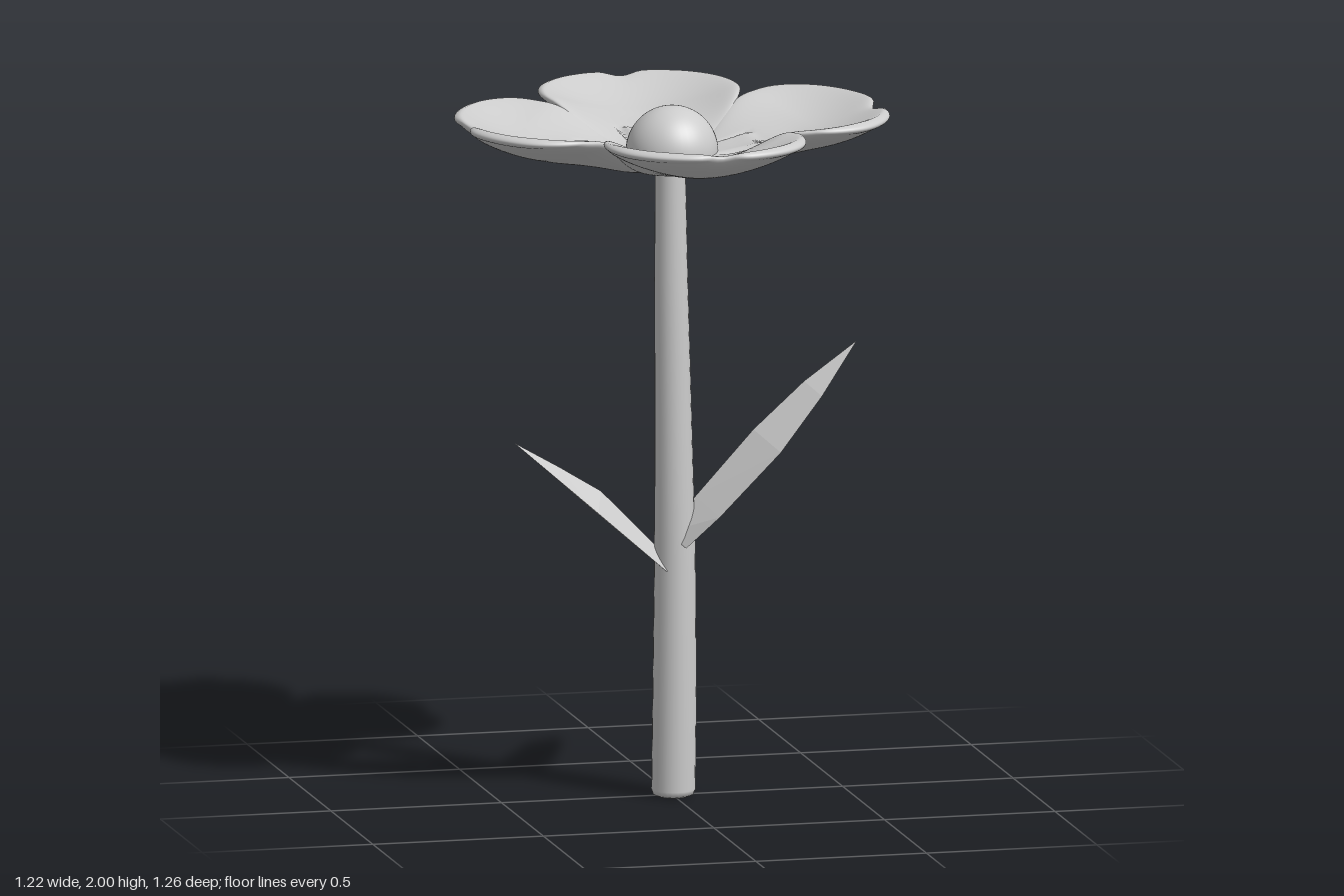
import * as THREE from 'three';

const grey = new THREE.MeshStandardMaterial({ color: 0xcccccc });
grey.name = 'light grey';

const smooth = THREE.MathUtils.smoothstep;

function part(name, geometry) {
  const mesh = new THREE.Mesh(geometry, grey);
  mesh.name = name;
  return mesh;
}

// Surface through rings of points, each ring closed on itself
function loft(rings) {
  const m = rings[0].length, index = [];
  for (let i = 0; i < rings.length - 1; i++) {
    for (let j = 0; j < m; j++) {
      const k = (j + 1) % m;
      const a = i * m + j, b = a + m, c = (i + 1) * m + k, d = i * m + k;
      index.push(a, c, b, a, d, c);
    }
  }
  const g = new THREE.BufferGeometry();
  g.setAttribute('position', new THREE.Float32BufferAttribute(rings.flat(2), 3));
  g.setIndex(index);
  g.computeVertexNormals();
  return g;
}

// Cupped petal pointing to +z: rings run out over the top, round the rim and back underneath
function petalGeometry(width, length, half) {
  const mirrored = half.slice(1, -1).reverse().map(([x, z]) => [-x, z]);
  const curve = new THREE.CatmullRomCurve3(
    [...half, ...mirrored].map(([x, z]) => new THREE.Vector3(x, 0, z)), true);
  const outline = curve.getSpacedPoints(112).slice(0, -1);
  const N = 64, cz = 0.35, rings = [];
  for (let i = 0; i <= N; i++) {
    const s = Math.sin(Math.PI * i / N);
    const top = i <= N / 2;
    rings.push(outline.map(p => {
      const x = p.x * s, z = cz + (p.z - cz) * s;
      const cup = Math.min(1, Math.hypot(x / width, (z - cz) / (length - cz)));
      const rise = 0.119 * smooth(Math.hypot(x, z), 0.15, 0.42) * (0.28 + 0.72 * cup ** 1.7);
      const thick = 0.021 * Math.sqrt(Math.max(0, 1 - s ** 10));
      let y = 1.849 + rise + (top ? thick : -thick);
      if (top) {
        // raised pad near the heart, with a crease on each side
        const w = 0.05 + 0.18 * z, ax = Math.abs(x);
        const along = smooth(z, 0.1, 0.17) * (1 - smooth(z, 0.23, 0.27));
        y += along * 0.009 * (1 - smooth(ax, w - 0.02, w + 0.015));
        y -= along * 0.014 * Math.exp(-(((ax - w) / 0.008) ** 2));
      }
      return [x, y, z];
    }));
  }
  return loft(rings);
}

// Faceted leaf from base to tip: flat underneath, ridged on top
function leafGeometry(base, tip, sections) {
  const dx = tip[0] - base[0], dy = tip[1] - base[1], len = Math.hypot(dx, dy);
  const side = Math.sign(dx);
  const nx = -side * dy / len, ny = side * dx / len;
  const rings = sections.map(([t, w, h, zc]) => {
    const cx = base[0] + dx * t, cy = base[1] + dy * t;
    const at = (z, n) => [cx + nx * n, cy + ny * n, zc + z];
    const ring = [at(w, 0), at(0, h), at(-w, 0)];
    return side > 0 ? ring.reverse() : ring;
  });
  const g = loft(rings).toNonIndexed();
  g.computeVertexNormals();
  return g;
}

export function createModel() {
  const group = new THREE.Group();
  group.name = 'flower';

  // Stem, slightly tapered and leaning
  const stem = new THREE.LatheGeometry([
    [0, 0], [0.045, 0], [0.058, 0.006], [0.063, 0.02], [0.063, 0.3],
    [0.059, 0.7], [0.053, 1.1], [0.048, 1.5], [0.043, 1.86],
  ].map(([x, y]) => new THREE.Vector2(x, y)), 24);
  const pos = stem.attributes.position;
  for (let i = 0; i < pos.count; i++) {
    pos.setZ(i, pos.getZ(i) + 0.015 - 0.006 * pos.getY(i));
    pos.setX(i, pos.getX(i) + 0.006 * Math.sin(pos.getY(i) * 2.6));
  }
  group.add(part('stem', stem));

  // Four petals: the side pair is a little wider and shorter
  const longPetal = petalGeometry(0.285, 0.625, [[0, -0.03], [0.15, 0.13], [0.258, 0.275],
    [0.29, 0.38], [0.265, 0.5], [0.188, 0.587], [0.075, 0.63], [0, 0.614]]);
  const widePetal = petalGeometry(0.33, 0.608, [[0, -0.03], [0.16, 0.135], [0.285, 0.265],
    [0.335, 0.37], [0.315, 0.48], [0.23, 0.564], [0.1, 0.612], [0, 0.592]]);
  ['frontPetal', 'leftPetal', 'backPetal', 'rightPetal'].forEach((name, i) => {
    const petal = part(name, i % 2 ? widePetal : longPetal);
    petal.rotation.y = i * Math.PI / 2;
    group.add(petal);
  });

  // Round heart
  const heart = part('heart',
    new THREE.SphereGeometry(0.132, 40, 24, 0, Math.PI * 2, 0, Math.PI * 0.56));
  heart.position.y = 1.868;
  group.add(heart);

  // Leaves: sections are [position, half width, ridge height, z]
  group.add(part('leftLeaf', leafGeometry([0.02, 0.73], [0.54, 1.29], [
    [0, 0.078, 0.05, 0.01], [0.17, 0.122, 0.058, 0.01], [0.5, 0.15, 0.06, 0.01],
    [0.76, 0.095, 0.04, 0.005], [1, 0.001, 0.001, 0]])));
  group.add(part('rightLeaf', leafGeometry([-0.03, 0.66], [-0.46, 1.04], [
    [0, 0.065, 0.03, 0], [0.15, 0.09, 0.04, -0.005], [0.5, 0.12, 0.055, 0],
    [0.75, 0.075, 0.03, 0], [1, 0.001, 0.001, 0]])));

  return group;
}
